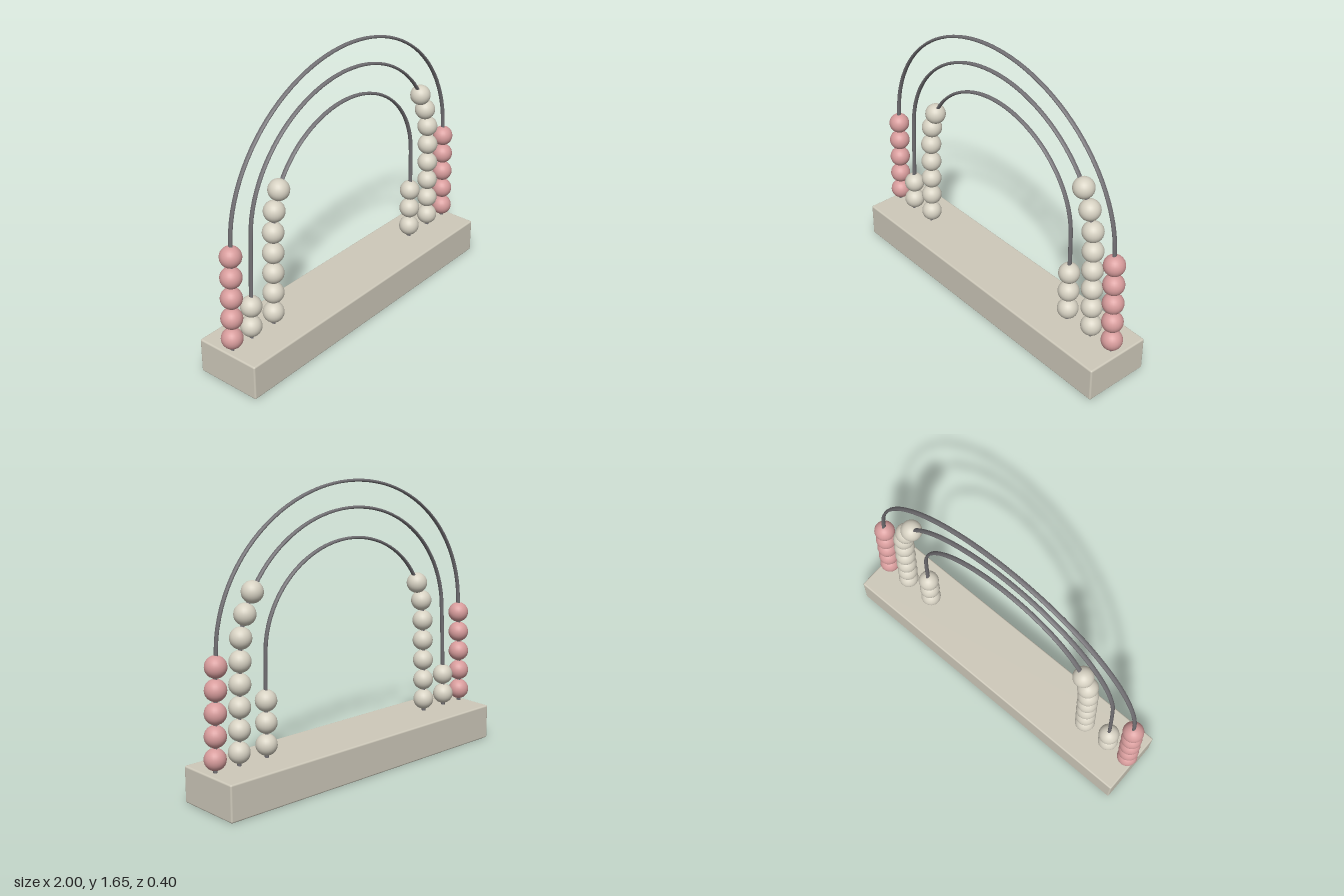
import * as THREE from 'three';
import { RoundedBoxGeometry } from 'three/addons/geometries/RoundedBoxGeometry.js';

const paint = (name, color) => {
  const m = new THREE.MeshStandardMaterial({ color });
  m.name = name;
  return m;
};

export function createModel() {
  const stone = paint('base stone', 0xcec9ba);
  const cream = paint('cream bead', 0xd6d1c2);
  const pink = paint('pink bead', 0xd79c9c);
  const steel = paint('dark steel', 0x727074);

  const model = new THREE.Group();
  model.name = 'beadArches';
  const add = (parent, name, geometry, material) => {
    const mesh = new THREE.Mesh(geometry, material);
    mesh.name = name;
    parent.add(mesh);
    return mesh;
  };

  // Block that holds the wires
  add(model, 'base', new RoundedBoxGeometry(1.98, 0.207, 0.4, 2, 0.01), stone).position.y = 0.1035;

  // Each wire: feet, springing height, half width and rise of the arch; bead heights per leg
  const row = (n) => Array.from({ length: n }, (_, i) => 0.28 + i * 0.1225);
  const arches = [
    { name: 'outer', feet: [-0.947, 0.938], cx: -0.004, a: 0.918, spring: 0.82, top: 1.64,
      material: pink, left: row(5), right: row(5) },
    { name: 'middle', feet: [-0.803, 0.781], cx: -0.008, a: 0.767, spring: 0.8, top: 1.493,
      material: cream, left: row(2), right: [...row(6), 1.013, 1.123] },
    { name: 'inner', feet: [-0.628, 0.594], cx: -0.008, a: 0.599, spring: 0.78, top: 1.326,
      material: cream, left: [...row(6), 1.003], right: row(3) },
  ];
  const bead = new THREE.SphereGeometry(0.06, 24, 16);

  for (const arch of arches) {
    const group = new THREE.Group();
    group.name = arch.name + 'Arch';
    model.add(group);
    const { feet, cx, a, spring, top } = arch;
    const rise = top - spring;

    // Wire: straight legs joined by half an ellipse, slightly wider in depth
    const points = [new THREE.Vector3(feet[0], 0.19, 0)];
    for (let i = 0; i <= 20; i++) {
      const t = Math.PI * (1 - i / 20);
      points.push(new THREE.Vector3(cx + a * Math.cos(t), spring + rise * Math.sin(t), 0));
    }
    points.push(new THREE.Vector3(feet[1], 0.19, 0));
    const wire = new THREE.TubeGeometry(new THREE.CatmullRomCurve3(points), 72, 0.0085, 8);
    wire.scale(1, 1, 1.65);
    add(group, arch.name + 'Wire', wire, steel);

    // Beads threaded on each leg, following the wire
    for (const [k, side] of [[0, 'left'], [1, 'right']]) {
      const sign = k ? 1 : -1;
      for (const y of arch[side]) {
        const end = cx + sign * a;
        const x = y < spring
          ? THREE.MathUtils.lerp(feet[k], end, (y - 0.19) / (spring - 0.19))
          : cx + sign * a * Math.sqrt(1 - ((y - spring) / rise) ** 2);
        add(group, 'bead', bead, arch.material).position.set(x, y, 0);
      }
    }
  }
  return model;
}
